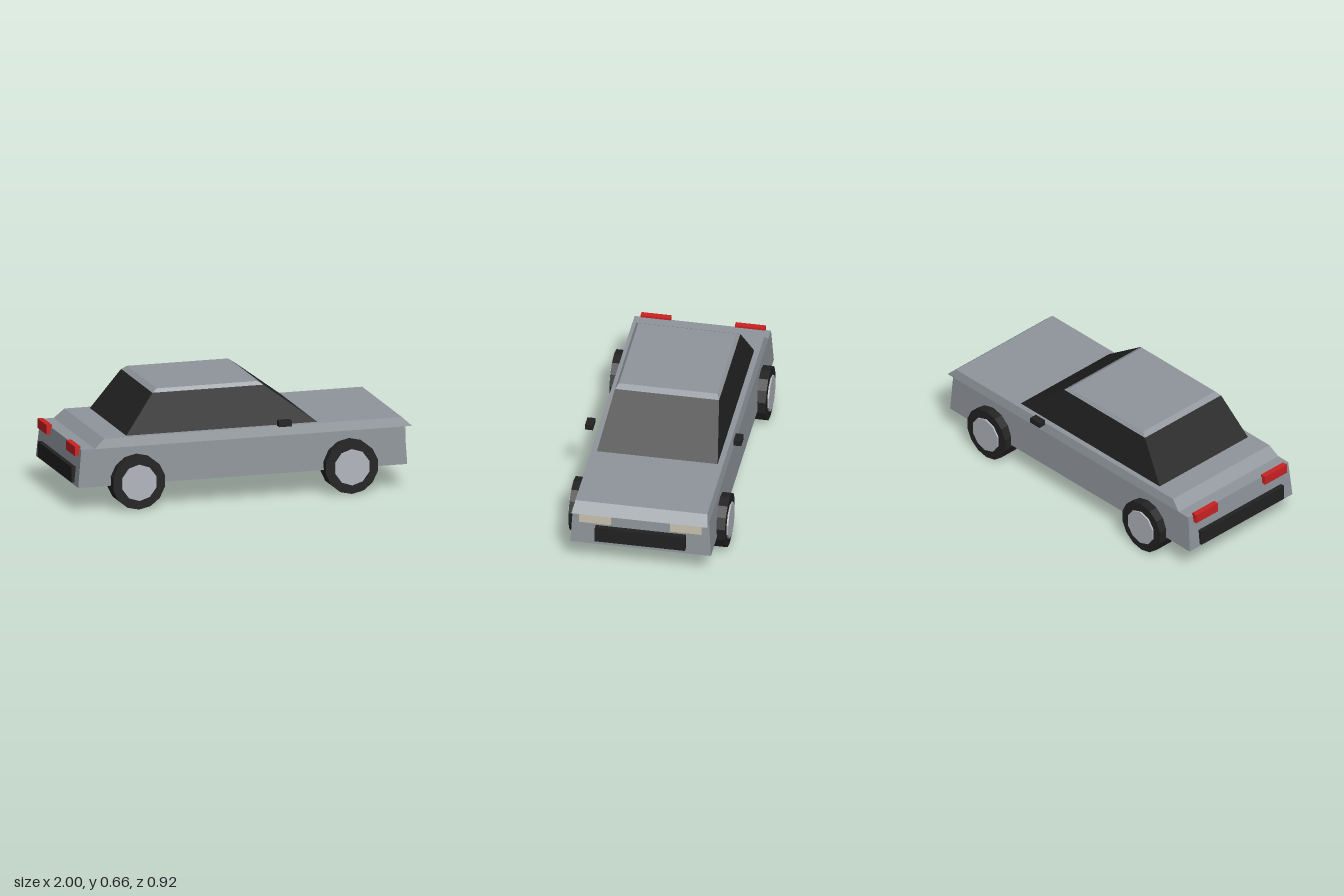
import * as THREE from 'three';

const paint = (name, color) => new THREE.MeshStandardMaterial({ name, color, flatShading: true });

// Stack of rectangles [y, xBack, xFront, halfWidth], skinned and capped
function loft(sections) {
  const pos = [];
  const rings = sections.map(([y, x0, x1, w]) => [[x0, y, w], [x1, y, w], [x1, y, -w], [x0, y, -w]]);
  const quad = (a, b, c, d) => pos.push(...a, ...b, ...c, ...a, ...c, ...d);
  for (let s = 0; s < rings.length - 1; s++) {
    const lo = rings[s], hi = rings[s + 1];
    for (let i = 0; i < 4; i++) {
      const j = (i + 1) % 4;
      quad(lo[i], lo[j], hi[j], hi[i]);
    }
  }
  const first = rings[0], last = rings[rings.length - 1];
  quad(first[3], first[2], first[1], first[0]);
  quad(...last);
  const geometry = new THREE.BufferGeometry();
  geometry.setAttribute('position', new THREE.Float32BufferAttribute(pos, 3));
  geometry.computeVertexNormals();
  return geometry;
}

export function createModel() {
  const car = new THREE.Group();
  car.name = 'car';

  const bodyGrey = paint('bodyGrey', 0x8f959b);
  const black = paint('black', 0x222222);
  const hubGrey = paint('hubGrey', 0xb2b6bd);
  const lampRed = paint('lampRed', 0xcc2222);
  const lampCream = paint('lampCream', 0xcbc4b2);

  const add = (name, geometry, material, parent = car) => {
    const mesh = new THREE.Mesh(geometry, material);
    mesh.name = name;
    parent.add(mesh);
    return mesh;
  };
  // Box given by its limits on each axis
  const block = (name, material, [x0, x1], [y0, y1], [z0, z1]) => {
    const mesh = add(name, new THREE.BoxGeometry(x1 - x0, y1 - y0, z1 - z0), material);
    mesh.position.set((x0 + x1) / 2, (y0 + y1) / 2, (z0 + z1) / 2);
  };

  // Body with stepped boot and overhanging bonnet lip
  add('body', loft([
    [0.14, -0.985, 0.967, 0.405],
    [0.357, -0.963, 0.955, 0.393],
    [0.357, -0.883, 1.0, 0.393],
    [0.41, -0.823, 0.943, 0.38],
  ]), bodyGrey);

  // Glasshouse and bevelled roof
  add('windows', loft([
    [0.41, -0.682, 0.45, 0.348],
    [0.637, -0.512, 0.147, 0.3],
  ]), black);
  add('roof', loft([
    [0.637, -0.512, 0.147, 0.3],
    [0.657, -0.482, 0.115, 0.283],
  ]), bodyGrey);

  // Bumpers
  block('frontGrille', black, [0.94, 0.99], [0.172, 0.265], [-0.26, 0.26]);
  block('rearBumper', black, [-1.0, -0.95], [0.155, 0.245], [-0.325, 0.325]);

  for (const side of [1, -1]) {
    const label = side > 0 ? 'left' : 'right';
    const span = (a, b) => (side > 0 ? [a, b] : [-b, -a]);

    block(label + 'Headlight', lampCream, [0.94, 0.975], [0.285, 0.344], span(0.17, 0.353));
    block(label + 'TailLight', lampRed, [-0.99, -0.957], [0.315, 0.37], span(0.185, 0.358));
    block(label + 'Mirror', black, [0.193, 0.268], [0.42, 0.453], span(0.405, 0.45));

    // Wheels: faceted tyre with a raised hub
    for (const [end, x] of [['Front', 0.625], ['Rear', -0.638]]) {
      const wheel = new THREE.Group();
      wheel.name = label + end + 'Wheel';
      wheel.position.set(x, 0.157, side * 0.393);
      wheel.rotation.x = side * Math.PI / 2;
      add('tyre', new THREE.CylinderGeometry(0.157, 0.157, 0.115, 14), black, wheel);
      add('hub', new THREE.CylinderGeometry(0.105, 0.105, 0.03, 10), hubGrey, wheel).position.y = 0.052;
      car.add(wheel);
    }
  }
  return car;
}
